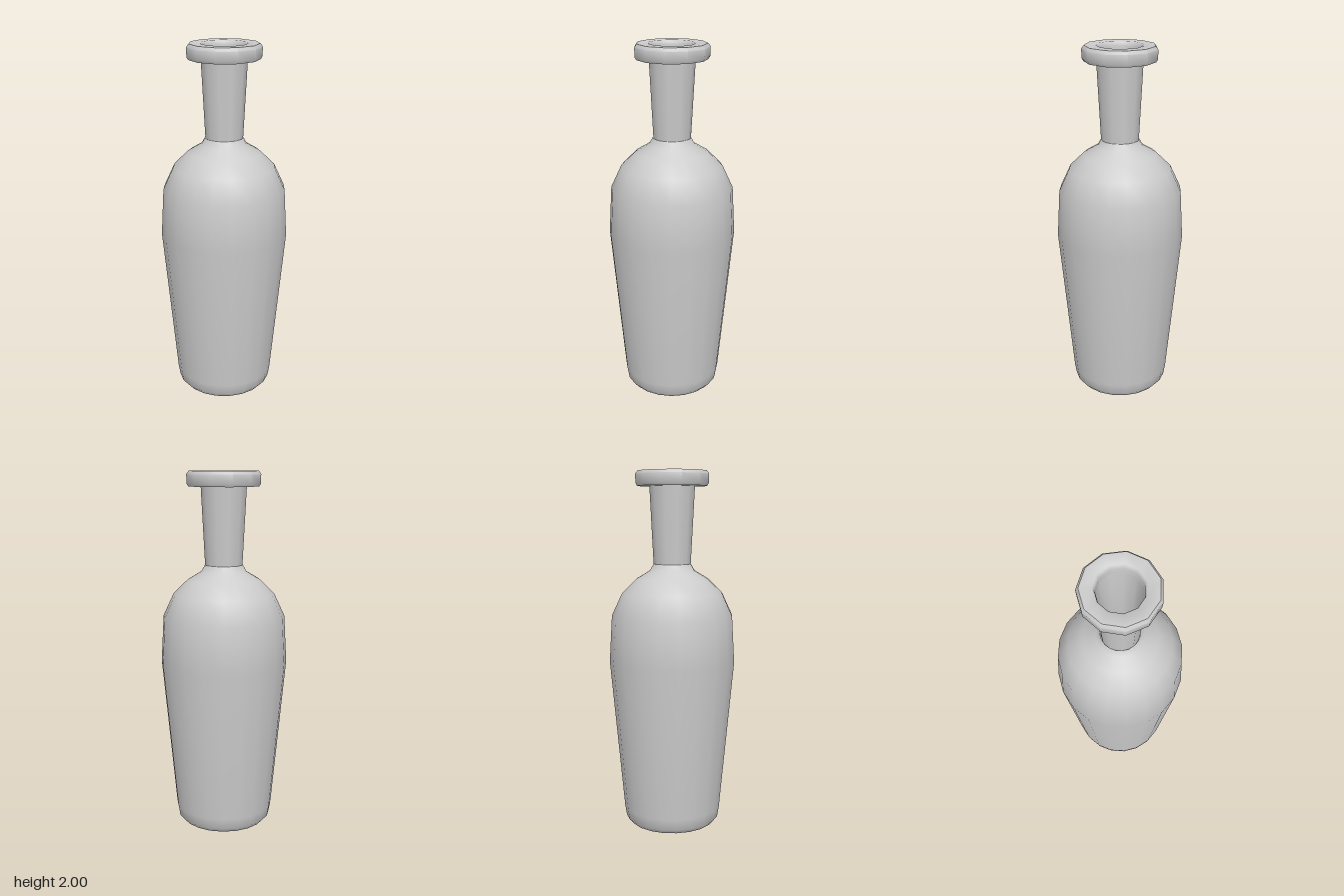
import * as THREE from 'three';
import { toCreasedNormals } from 'three/addons/utils/BufferGeometryUtils.js';

const material = new THREE.MeshStandardMaterial({ color: 0xcccccc });

// Turned part from [radius, height] pairs; a corner of the polygon points to -z.
function turned(name, profile, sides, crease) {
  const points = profile.map(([r, y]) => new THREE.Vector2(r, y));
  let geometry = new THREE.LatheGeometry(points, sides, Math.PI);
  if (crease) geometry = toCreasedNormals(geometry, crease);
  const mesh = new THREE.Mesh(geometry, material);
  mesh.name = name;
  return mesh;
}

export function createModel() {
  const bottle = new THREE.Group();
  bottle.name = 'bottle';

  // Tapered body with rounded foot and domed shoulder
  bottle.add(turned('body', [
    [0, 0], [0.2, 0], [0.24, 0.012], [0.265, 0.04], [0.275, 0.1],
    [0.353, 0.95], [0.338, 1.21], [0.28, 1.335], [0.2, 1.413],
    [0.125, 1.458], [0.104, 1.495],
  ], 20));

  // Neck, flaring slightly upwards
  bottle.add(turned('neck', [[0.102, 1.47], [0.104, 1.5], [0.126, 1.925]], 11));

  // Lip ring with flat top and softened mouth
  bottle.add(turned('lip', [
    [0.115, 1.918], [0.193, 1.918], [0.201, 1.932], [0.203, 1.982], [0.19, 2],
    [0.128, 2], [0.12, 1.993], [0.116, 1.975], [0.115, 1.94],
  ], 11, 0.8));

  // Hollow inside, traced downwards so that it faces inwards
  bottle.add(turned('innerWall', [
    [0.115, 1.94], [0.088, 1.5], [0.1, 1.45], [0.185, 1.395], [0.262, 1.32],
    [0.318, 1.2], [0.335, 0.95], [0.258, 0.1], [0.23, 0.035], [0, 0.03],
  ], 11, 0.8));

  return bottle;
}
